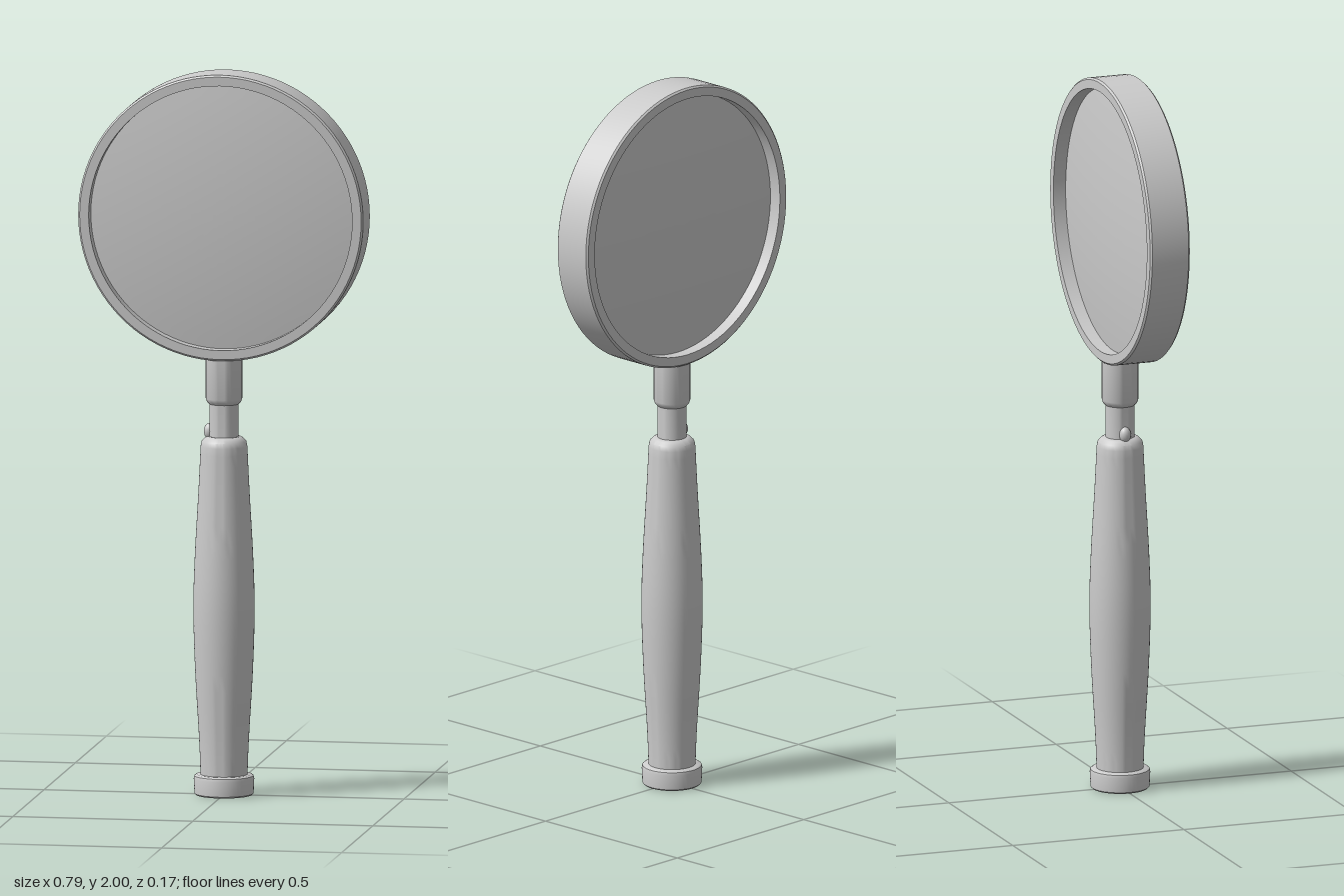
import * as THREE from 'three';
import { toCreasedNormals } from 'three/addons/utils/BufferGeometryUtils.js';

const material = new THREE.MeshStandardMaterial({ color: 0xcccccc });

// Solid of revolution around y, from [radius, height] pairs running bottom to top
function turned(name, profile, segments = 48) {
  const points = profile.map(([r, h]) => new THREE.Vector2(r, h));
  const geometry = toCreasedNormals(new THREE.LatheGeometry(points, segments), 0.6);
  const mesh = new THREE.Mesh(geometry, material);
  mesh.name = name;
  return mesh;
}

export function createModel() {
  const model = new THREE.Group();
  model.name = 'magnifyingGlass';

  // Swelling grip with a rounded shoulder at the top
  const curve = new THREE.SplineCurve([
    [0.064, 0.04], [0.068, 0.15], [0.079, 0.34], [0.084, 0.51],
    [0.08, 0.66], [0.07, 0.84], [0.064, 0.965],
  ].map(([r, y]) => new THREE.Vector2(r, y)));
  const grip = curve.getPoints(24).map((p) => [p.x, p.y]);
  model.add(turned('handle', [[0, 0.04], ...grip, [0.061, 0.979], [0.052, 0.988], [0.045, 0.992], [0, 0.992]]));

  // End cap
  model.add(turned('endCap', [
    [0, 0], [0.077, 0], [0.081, 0.004], [0.083, 0.045],
    [0.081, 0.053], [0.075, 0.057], [0, 0.057],
  ]));

  // Neck and the ferrule that holds the frame
  model.add(turned('neck', [[0, 0.97], [0.04, 0.97], [0.04, 1.1], [0, 1.1]], 32));
  model.add(turned('ferrule', [
    [0, 1.082], [0.041, 1.082], [0.047, 1.088], [0.05, 1.097], [0.05, 1.225], [0, 1.225],
  ], 32));

  // Small stud on the side of the neck
  const stud = new THREE.Mesh(new THREE.SphereGeometry(0.02, 16, 12), material);
  stud.name = 'stud';
  stud.scale.set(0.8, 1.1, 0.8);
  stud.position.set(-0.04, 1.005, 0);
  model.add(stud);

  // Head: round frame and biconvex lens, turned so the axis runs front to back
  const head = new THREE.Group();
  head.name = 'head';
  head.position.y = 1.603;
  head.rotation.x = Math.PI / 2;
  const d = 0.058;
  head.add(turned('frame', [
    [0.366, -d], [0.391, -d], [0.396, -d + 0.005], [0.396, d - 0.005],
    [0.391, d], [0.366, d], [0.366, -d],
  ], 96));

  const R = 0.368, edge = 0.022, bulge = 0.022, steps = 12;
  const face = (side) => Array.from({ length: steps + 1 }, (_, i) => {
    const t = i / steps;
    return [R * t, side * (edge + bulge * (1 - t * t))];
  });
  head.add(turned('lens', [...face(-1), ...face(1).reverse()], 96));
  model.add(head);

  return model;
}
